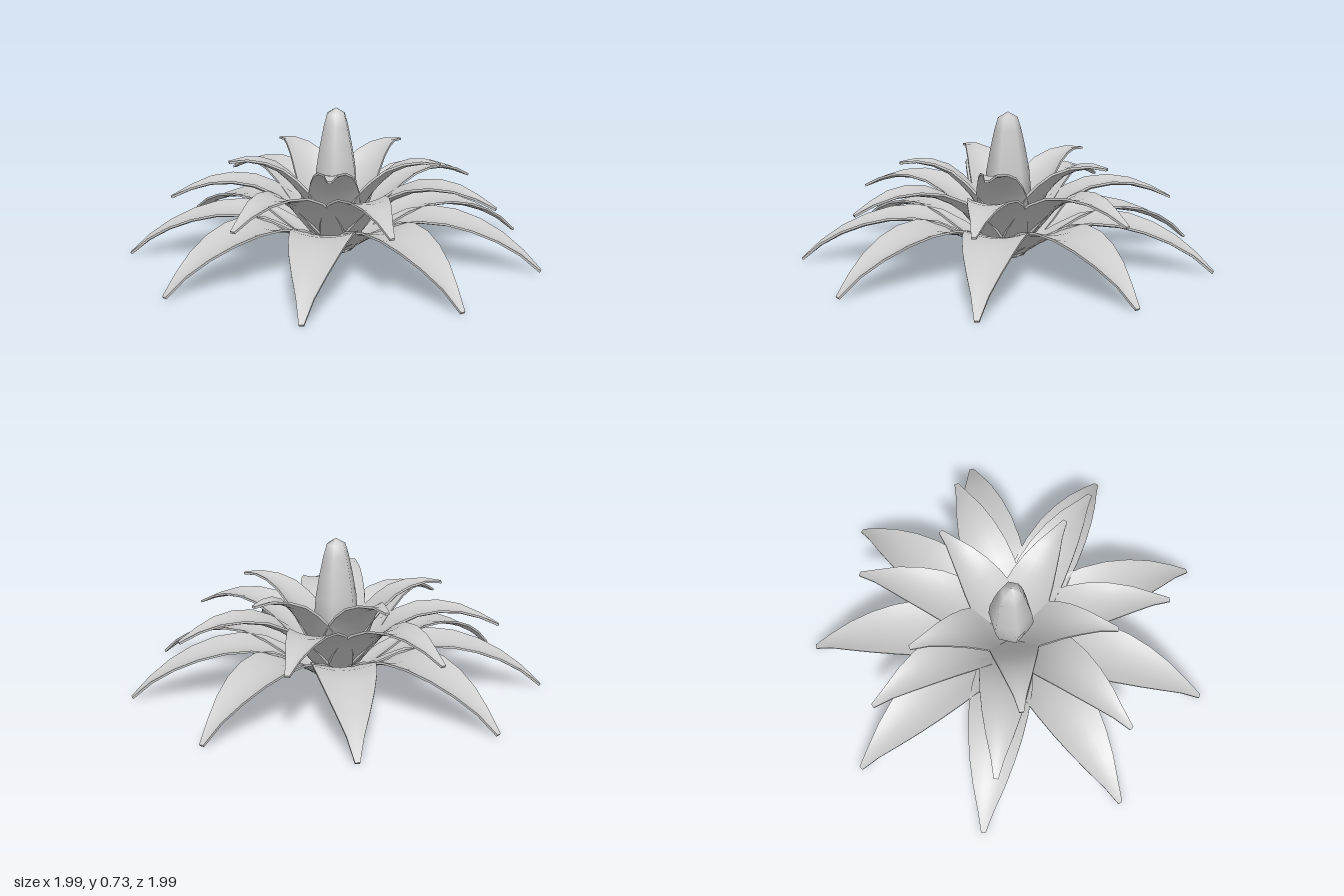
import * as THREE from 'three';
import { toCreasedNormals } from 'three/addons/utils/BufferGeometryUtils.js';

const STEPS = 9;      // sections along a leaf
const ACROSS = 6;     // strips across a leaf
const THICK = 0.011;

// Arching, trough-shaped leaf growing along +x; path holds (radius, height) points
function leafGeometry(path, halfWidth, cup) {
  const curve = new THREE.SplineCurve(path.map(([r, y]) => new THREE.Vector2(r, y)));
  const ring = 2 * (ACROSS + 1);
  const positions = [], index = [];

  for (let i = 0; i <= STEPS; i++) {
    const t = i / STEPS;
    const p = curve.getPointAt(t), d = curve.getTangentAt(t);
    const swell = Math.sin(Math.PI * (0.17 + 0.83 * Math.pow(t, 0.9)));
    const w = Math.max(halfWidth * swell, 0.011);
    for (let k = 0; k < ring; k++) {
      const top = k <= ACROSS;
      const u = (top ? k : ring - 1 - k) / ACROSS * 2 - 1;
      const lift = cup * swell * u * u - (top ? 0 : THICK);
      positions.push(p.x - d.y * lift, p.y + d.x * lift, u * w);
    }
  }

  // Skin around the sections
  for (let i = 0; i < STEPS; i++) {
    for (let k = 0; k < ring; k++) {
      const n = (k + 1) % ring;
      const a = i * ring + k, b = i * ring + n;
      index.push(a, b, b + ring, a, b + ring, a + ring);
    }
  }
  // Blunt ends
  const end = STEPS * ring;
  for (let j = 0; j < ACROSS; j++) {
    const t0 = j, t1 = j + 1, b0 = ring - 1 - j, b1 = ring - 2 - j;
    index.push(end + b0, end + t0, end + t1, end + b0, end + t1, end + b1);
    index.push(b0, t1, t0, b0, b1, t1);
  }

  const g = new THREE.BufferGeometry();
  g.setAttribute('position', new THREE.Float32BufferAttribute(positions, 3));
  g.setIndex(index);
  return toCreasedNormals(g, 0.9);
}

export function createModel() {
  const plant = new THREE.Group();
  plant.name = 'rosettePlant';
  const grey = new THREE.MeshStandardMaterial({ color: 0xcccccc });
  grey.name = 'pale grey';

  // Three whorls of leaves, from the ground up
  const whorls = [
    {
      name: 'outerLeaf', count: 9, start: 24.8, width: 0.15, cup: 0.03,
      path: [[0.015, 0.012], [0.17, 0.1], [0.34, 0.188], [0.5, 0.215], [0.68, 0.19], [0.87, 0.115], [1.012, 0.011]],
    },
    {
      name: 'middleLeaf', count: 7, start: 90.8, width: 0.132, cup: 0.03,
      path: [[0.015, 0.025], [0.12, 0.14], [0.25, 0.275], [0.4, 0.357], [0.52, 0.376], [0.65, 0.363], [0.8, 0.305]],
    },
    {
      name: 'innerLeaf', count: 5, start: -12.2, width: 0.125, cup: 0.03,
      path: [[0.015, 0.04], [0.1, 0.2], [0.18, 0.33], [0.28, 0.435], [0.36, 0.478], [0.45, 0.498], [0.525, 0.494]],
    },
  ];
  for (const { name, count, start, width, cup, path } of whorls) {
    const geometry = leafGeometry(path, width, cup);
    for (let i = 0; i < count; i++) {
      const leaf = new THREE.Mesh(geometry, grey);
      leaf.name = name;
      leaf.rotation.y = -THREE.MathUtils.degToRad(start + i * 360 / count);
      plant.add(leaf);
    }
  }

  // Six-sided central bud
  const profile = [[0, 0.06], [0.04, 0.08], [0.09, 0.2], [0.114, 0.34], [0.106, 0.44], [0.086, 0.55], [0.066, 0.64], [0.048, 0.7], [0, 0.728]];
  const bud = new THREE.Mesh(
    new THREE.LatheGeometry(profile.map(([r, y]) => new THREE.Vector2(r, y)), 6),
    grey
  );
  bud.name = 'centralBud';
  bud.rotation.y = Math.PI / 6;
  plant.add(bud);

  plant.position.set(0.012, 0, 0.012);
  const model = new THREE.Group();
  model.name = 'plant';
  model.add(plant);
  return model;
}
